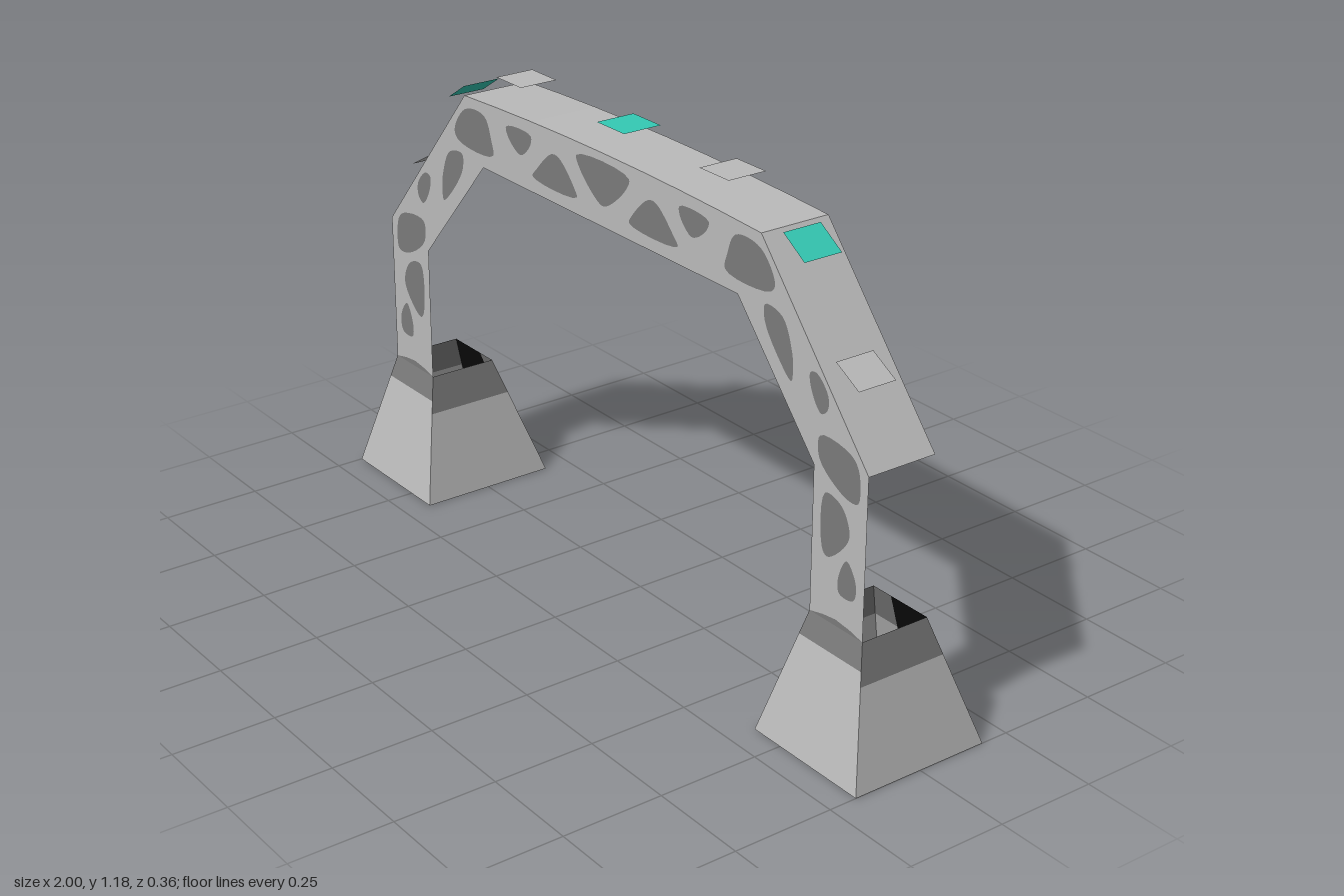
import * as THREE from 'three';

const material = (name, color) => {
  const m = new THREE.MeshStandardMaterial({ color, side: THREE.DoubleSide });
  m.name = name;
  return m;
};

// Flat-shaded strip of quads between two rows of points
function strip(lower, upper) {
  const v = [];
  for (let i = 0; i < lower.length - 1; i++) {
    const a = lower[i], b = lower[i + 1], c = upper[i + 1], d = upper[i];
    v.push(...a, ...b, ...c, ...a, ...c, ...d);
  }
  const g = new THREE.BufferGeometry();
  g.setAttribute('position', new THREE.Float32BufferAttribute(v, 3));
  g.computeVertexNormals();
  return g;
}

const mirrored = pts => pts.map(([x, y]) => [-x, y]).reverse();
const vectors = pts => pts.map(([x, y]) => new THREE.Vector2(x, y));

// Rounded closed blob through a few points
function blob(pts) {
  const curve = new THREE.CatmullRomCurve3(
    pts.map(([x, y]) => new THREE.Vector3(x, y, 0)), true, 'centripetal');
  return curve.getPoints(36).slice(0, -1).map(p => [p.x, p.y]);
}

const FRONT = 0.105, BACK = -0.075, TOP = 0.31;

// Dark patches of the +x half of the arch
const PATCHES = [
  [[0.1, 0.99], [0.11, 1.01], [0.17, 1.065], [0.2, 1.065], [0.26, 1.012], [0.277, 0.99]],
  [[0.282, 1.085], [0.384, 1.081], [0.378, 1.06], [0.345, 1.033], [0.322, 1.028], [0.284, 1.063]],
  [[0.442, 0.992], [0.448, 1.028], [0.475, 1.08], [0.56, 1.076], [0.608, 1.012], [0.592, 0.99]],
  [[0.577, 0.958], [0.635, 0.948], [0.667, 0.883], [0.672, 0.84], [0.667, 0.815], [0.625, 0.851], [0.577, 0.92]],
  [[0.727, 0.857], [0.748, 0.862], [0.785, 0.825], [0.785, 0.792], [0.764, 0.777], [0.732, 0.82]],
  [[0.764, 0.728], [0.86, 0.722], [0.887, 0.696], [0.892, 0.626], [0.882, 0.616], [0.839, 0.621], [0.764, 0.675]],
  [[0.785, 0.605], [0.839, 0.594], [0.866, 0.54], [0.85, 0.503], [0.796, 0.46], [0.78, 0.476]],
  [[0.86, 0.476], [0.887, 0.444], [0.892, 0.412], [0.882, 0.391], [0.839, 0.391], [0.834, 0.423]],
];
const CENTRE_PATCH = [[-0.1, 1.092], [0.1, 1.092], [0.085, 1.06], [0.012, 1.002], [-0.012, 1.002], [-0.085, 1.06]];

export function createModel() {
  const grey = material('light grey', 0xbababa);
  const dark = material('dark grey', 0x7a7a7a);
  const black = material('black', 0x0c0c0c);
  const teal = material('teal', 0x34c9b4);

  const model = new THREE.Group();
  model.name = 'archGate';
  const add = (parent, name, geometry, mat) => {
    const m = new THREE.Mesh(geometry, mat);
    m.name = name;
    parent.add(m);
    return m;
  };

  // Slightly bowed outer edge, from -x to +x
  const crown = [];
  for (let i = 0; i <= 8; i++) {
    const x = -0.56 + 0.14 * i;
    crown.push([x, 1.11 + 0.015 * (1 - (x / 0.56) ** 2)]);
  }
  const outer = [[-0.918, 0.693], ...crown, [0.918, 0.693]];

  // Front panel, with the dark patches set flush into it
  const cap = [[0.918, TOP], [0.875, 0.32], [0.83, 0.325], [0.79, 0.32], [0.747, TOP]];
  const innerHalf = [...cap, [0.747, 0.655], [0.485, 0.95]];
  const panelShape = new THREE.Shape(vectors([...outer, ...innerHalf, ...mirrored(innerHalf)]));
  const outlines = [CENTRE_PATCH, ...PATCHES, ...PATCHES.map(mirrored)].map(blob);
  const panel = new THREE.Group();
  panel.name = 'archPanel';
  panel.position.z = FRONT;
  model.add(panel);
  for (const pts of outlines) {
    panelShape.holes.push(new THREE.Path(vectors(pts)));
    add(panel, 'patch', new THREE.ShapeGeometry(new THREE.Shape(vectors(pts))), dark);
  }
  for (const pts of [cap, mirrored(cap)])
    add(panel, 'legCap', new THREE.ShapeGeometry(new THREE.Shape(vectors(pts))), dark);
  add(panel, 'panelFace', new THREE.ShapeGeometry(panelShape), grey);

  // Roof sheet along the outer edge
  add(model, 'roof', strip(
    outer.map(([x, y]) => [x, y, FRONT]),
    outer.map(([x, y]) => [x, y, BACK])), grey);

  // Open, tapered feet
  for (const s of [-1, 1]) {
    const foot = new THREE.Group();
    foot.name = s > 0 ? 'leftFoot' : 'rightFoot';
    model.add(foot);
    const corners = s > 0
      ? { base: [0.663, 1], top: [0.747, 0.918] }
      : { base: [-1, -0.663], top: [-0.918, -0.747] };
    const ring = ([x0, x1], y, z0, z1) => [[x0, y, z1], [x1, y, z1], [x1, y, z0], [x0, y, z0]]
      .map(p => new THREE.Vector3(...p));
    const base = ring(corners.base, 0, -0.18, 0.18);
    const top = ring(corners.top, TOP, BACK, FRONT);
    // Piece of wall i between fractions u along it and v up it
    const piece = (name, i, u0, u1, v0, v1, mat) => {
      const j = (i + 1) % 4;
      const at = (u, v) => base[i].clone().lerp(base[j], u)
        .lerp(top[i].clone().lerp(top[j], u), v).toArray();
      add(foot, name, strip([at(u0, v0), at(u1, v0)], [at(u0, v1), at(u1, v1)]), mat);
    };
    piece('frontWall', 0, 0, 1, 0, 0.81, grey);
    piece('frontBand', 0, 0, 1, 0.81, 1, dark);
    for (const i of [1, 3]) {
      piece('sideWall', i, 0, 1, 0, 0.71, grey);
      piece('sideBand', i, 0, 1, 0.71, 1, dark);
    }
    // Back wall with a black opening towards the outer side
    const [b0, b1] = s > 0 ? [0, 0.67] : [0.33, 1];
    const [r0, r1] = s > 0 ? [0.67, 1] : [0, 0.33];
    piece('backWall', 2, 0, 1, 0, 0.52, grey);
    piece('blackOpening', 2, b0, b1, 0.52, 1, black);
    piece('backWallSide', 2, r0, r1, 0.52, 0.71, grey);
    piece('backBand', 2, r0, r1, 0.71, 1, dark);
  }

  // Floating plates above the roof: x range, y at each end, z range, material
  const plates = [[-0.035, 0.067, 1.185, 1.185, -0.006, 0.094, teal]];
  for (const s of [-1, 1]) {
    plates.push([s * 0.336, s * 0.436, 1.185, 1.185, -0.006, 0.094, grey]);
    plates.push([s * 0.6, s * 0.67, 1.118, 1.073, -0.02, 0.08, teal]);
    plates.push([s * 0.777, s * 0.85, 0.891, 0.85, -0.02, 0.08, grey]);
  }
  for (let [x0, x1, y0, y1, z0, z1, mat] of plates) {
    if (x0 > x1) [x0, x1, y0, y1] = [x1, x0, y1, y0];
    add(model, 'floatingPlate', strip([[x0, y0, z1], [x1, y1, z1]], [[x0, y0, z0], [x1, y1, z0]]), mat);
  }
  return model;
}
